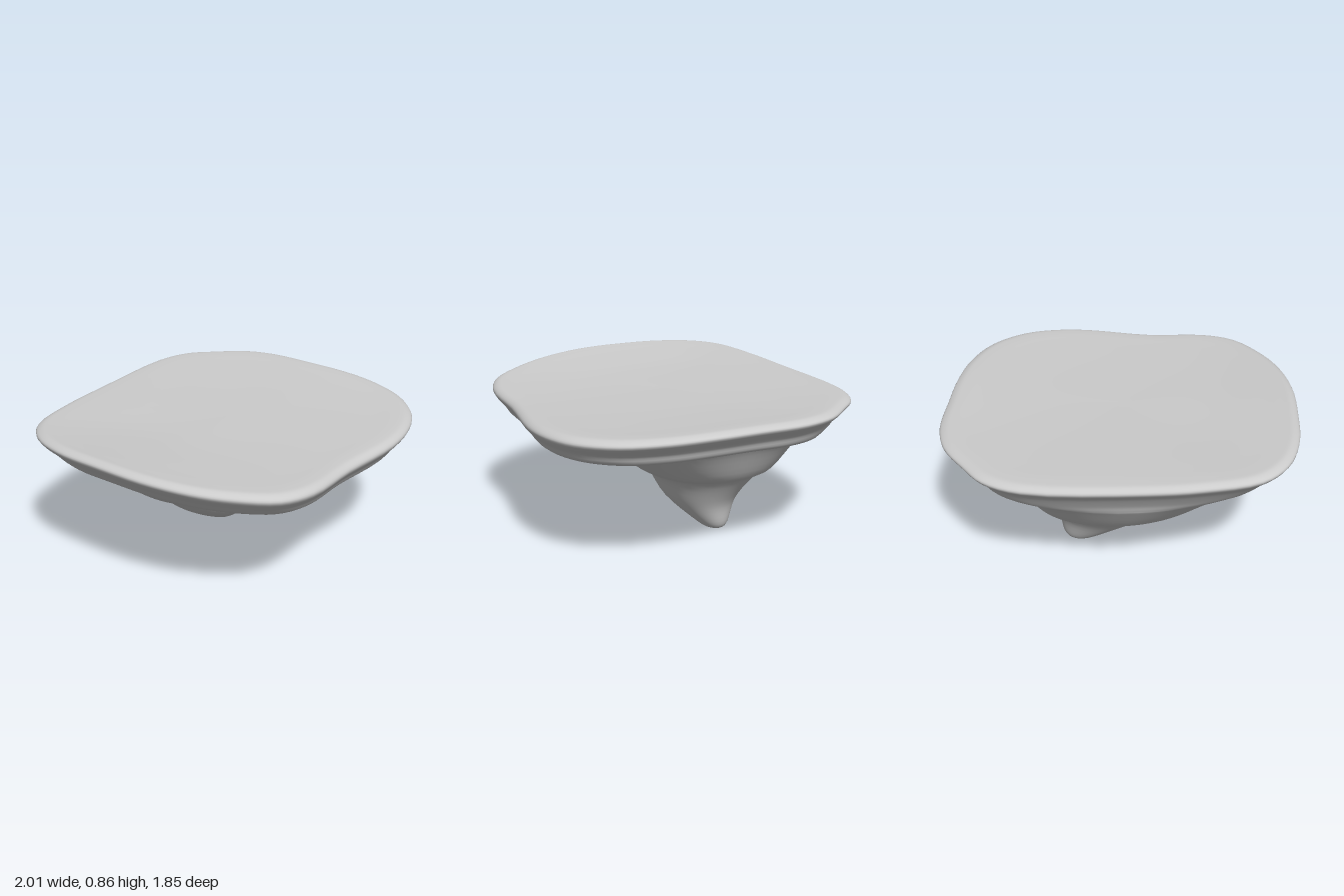
import * as THREE from 'three';

const SEGMENTS = 96;
const STEPS = 5; // rings between two profile points

// Plan outline (x, z), clockwise from the back
const OUTLINE = [
  [0.41, -0.93], [0.62, -0.87], [0.75, -0.75], [0.89, -0.59], [0.96, -0.4], [0.98, -0.13],
  [0.99, 0.13], [0.97, 0.37], [0.89, 0.61], [0.73, 0.79], [0.54, 0.88], [0.33, 0.915],
  [-0.07, 0.9], [-0.42, 0.92], [-0.61, 0.86], [-0.77, 0.69], [-0.88, 0.5], [-0.96, 0.24],
  [-0.99, -0.08], [-0.99, -0.35], [-0.93, -0.57], [-0.8, -0.72], [-0.5, -0.82], [-0.22, -0.87],
];

// Four matching profiles (offset, height): top centre, rim, skirt, ledge, lower ledge, tip
const profile = (points) => new THREE.SplineCurve(points.map(([o, y]) => new THREE.Vector2(o, y)));
const minusX = profile([[0, 0.81], [-0.45, 0.82], [-0.77, 0.845], [-0.91, 0.858], [-0.97, 0.86],
  [-1, 0.83], [-0.94, 0.76], [-0.87, 0.69], [-0.75, 0.65], [-0.68, 0.59], [-0.47, 0.4],
  [-0.36, 0.35], [-0.18, 0.2], [0.1, 0.03], [0.18, 0], [0.235, 0]]);
const plusX = profile([[0, 0.81], [0.45, 0.815], [0.77, 0.83], [0.91, 0.84], [0.97, 0.838],
  [1, 0.81], [0.93, 0.74], [0.89, 0.68], [0.73, 0.64], [0.66, 0.59], [0.55, 0.41],
  [0.47, 0.34], [0.37, 0.18], [0.33, 0.04], [0.29, 0], [0.235, 0]]);
const back = profile([[0, 0.81], [-0.42, 0.82], [-0.72, 0.828], [-0.84, 0.83], [-0.9, 0.825],
  [-0.925, 0.795], [-0.87, 0.73], [-0.82, 0.65], [-0.79, 0.6], [-0.76, 0.56], [-0.62, 0.38],
  [-0.52, 0.33], [-0.39, 0.18], [-0.3, 0.03], [-0.26, 0], [-0.22, 0]]);
const front = profile([[0, 0.81], [0.42, 0.805], [0.72, 0.803], [0.84, 0.803], [0.9, 0.795],
  [0.925, 0.76], [0.88, 0.7], [0.81, 0.635], [0.55, 0.61], [0.47, 0.58], [0.23, 0.39],
  [0.12, 0.33], [0.03, 0.17], [-0.12, 0.03], [-0.18, 0], [-0.22, 0]]);

function islandGeometry() {
  const outline = new THREE.CatmullRomCurve3(
    OUTLINE.map(([x, z]) => new THREE.Vector3(x / 0.99, 0, z / 0.925)), true);
  const unit = Array.from({ length: SEGMENTS }, (_, j) => outline.getPoint(j / SEGMENTS));
  const last = 15;
  const rings = last * STEPS;
  const positions = [];
  const index = [];

  for (let i = 0; i <= rings; i++) {
    const t = i / rings;
    const [l, r, b, f] = [minusX, plusX, back, front].map((curve) => curve.getPoint(t));
    // The cross-section turns from the plan outline to an ellipse toward the tip
    const roundness = THREE.MathUtils.smoothstep(t * last, 7, 12);
    for (const p of unit) {
      const len = Math.hypot(p.x, p.z);
      const k = THREE.MathUtils.lerp(1, 1 / len, roundness);
      const nx = p.x * k;
      const nz = p.z * k;
      // Blend the heights of the four profiles around the ring
      const wx = (p.x / len) ** 2;
      const y = (p.x > 0 ? r.y : l.y) * wx + (p.z > 0 ? f.y : b.y) * (1 - wx);
      positions.push(
        (l.x + r.x) / 2 + nx * (r.x - l.x) / 2,
        Math.max(0, y),
        (b.x + f.x) / 2 + nz * (f.x - b.x) / 2);
    }
  }

  for (let i = 0; i < rings; i++) {
    for (let j = 0; j < SEGMENTS; j++) {
      const next = (j + 1) % SEGMENTS;
      const a = i * SEGMENTS + j;
      const c = i * SEGMENTS + next;
      const below = a + SEGMENTS;
      const d = c + SEGMENTS;
      if (i > 0) index.push(a, c, below);
      if (i < rings - 1) index.push(c, d, below);
      else index.push(c, d, below);
    }
  }

  const geometry = new THREE.BufferGeometry();
  geometry.setAttribute('position', new THREE.Float32BufferAttribute(positions, 3));
  geometry.setIndex(index);
  geometry.computeVertexNormals();
  // The centre of the top and the tip are shared points
  const normals = geometry.attributes.normal;
  for (let j = 0; j < SEGMENTS; j++) {
    normals.setXYZ(j, 0, 1, 0);
    normals.setXYZ(rings * SEGMENTS + j, 0, -1, 0);
  }
  return geometry;
}

export function createModel() {
  const group = new THREE.Group();
  group.name = 'floatingIsland';
  const rock = new THREE.Mesh(
    islandGeometry(),
    new THREE.MeshStandardMaterial({ color: 0xcccccc }));
  rock.name = 'islandRock';
  group.add(rock);
  return group;
}
